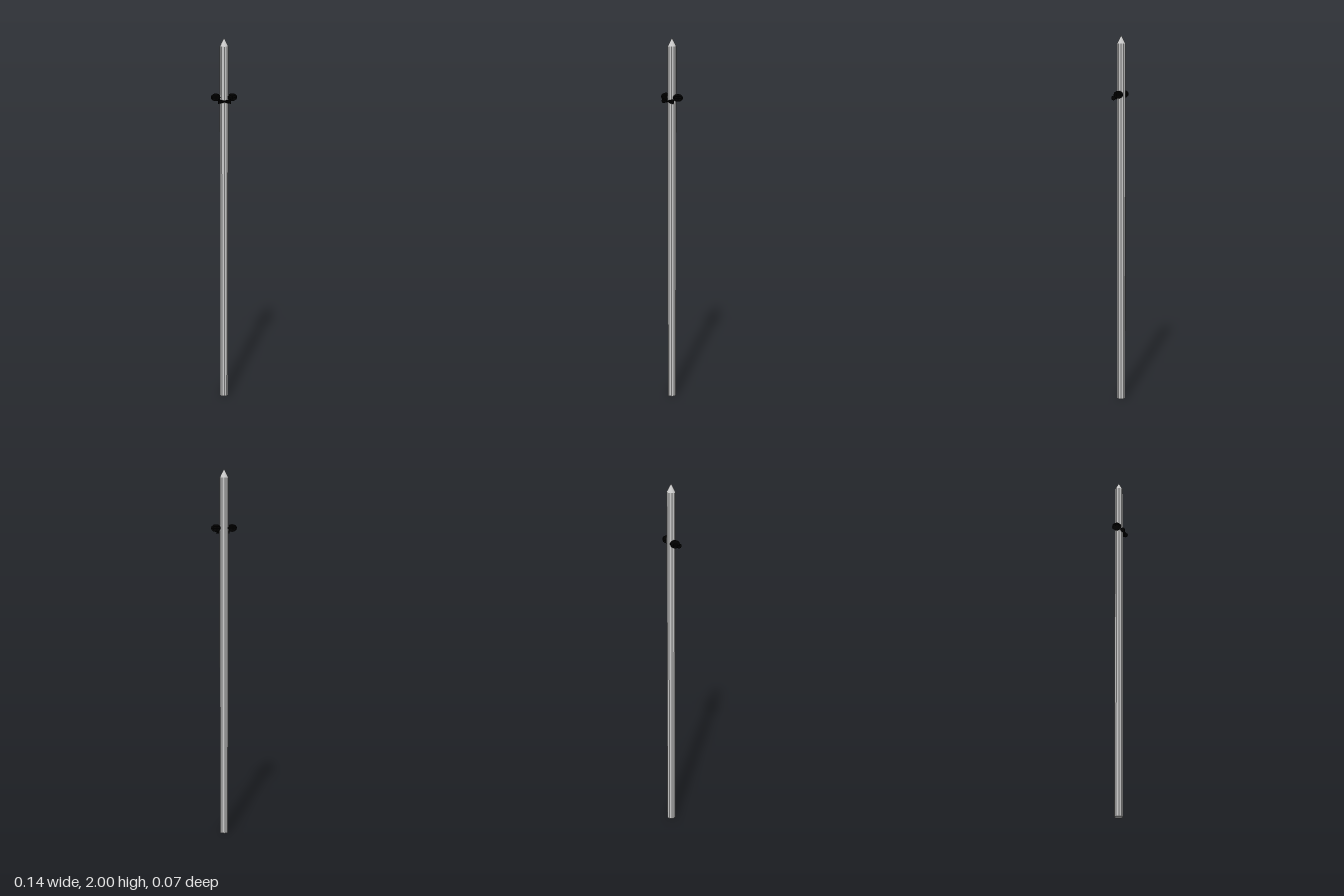
import * as THREE from 'three';

const flatGrey = new THREE.MeshStandardMaterial({ color: 0xcccccc, flatShading: true });
const smoothGrey = new THREE.MeshStandardMaterial({ color: 0xcccccc });
const black = new THREE.MeshStandardMaterial({ color: 0x000000, flatShading: true });

const R = 0.0235; // pole radius
const Z = -0.009; // pole axis
const TIP = 0.045; // height of the pointed end
const SIDES = 10;

function add(group, name, geometry, material, x, y, z) {
  const mesh = new THREE.Mesh(geometry, material);
  mesh.name = name;
  mesh.position.set(x, y, z);
  group.add(mesh);
  return mesh;
}

export function createModel() {
  const model = new THREE.Group();
  model.name = 'pointedPole';

  // Long faceted shaft and its pointed end
  const length = 2 - TIP;
  add(model, 'shaft', new THREE.CylinderGeometry(R, R, length, SIDES), flatGrey, 0, length / 2, Z);
  add(model, 'tip', new THREE.ConeGeometry(R, TIP, SIDES, 1, true), smoothGrey, 0, 2 - TIP / 2, Z);

  for (const side of [1, -1]) {
    const prefix = side > 0 ? 'left' : 'right';

    // Flattened ball on each side of the shaft
    const ear = add(model, prefix + 'Ear', new THREE.SphereGeometry(0.0275, 8, 6), black, side * 0.0435, 1.686, Z);
    ear.scale.y = 0.75;

    // Bow half: a truncated cone that widens outwards
    const bow = add(model, prefix + 'BowHalf', new THREE.CylinderGeometry(0.013, 0.005, 0.034, 8), black, side * 0.017, 1.667, 0.0225);
    bow.rotation.z = -side * Math.PI / 2;
  }

  return model;
}
